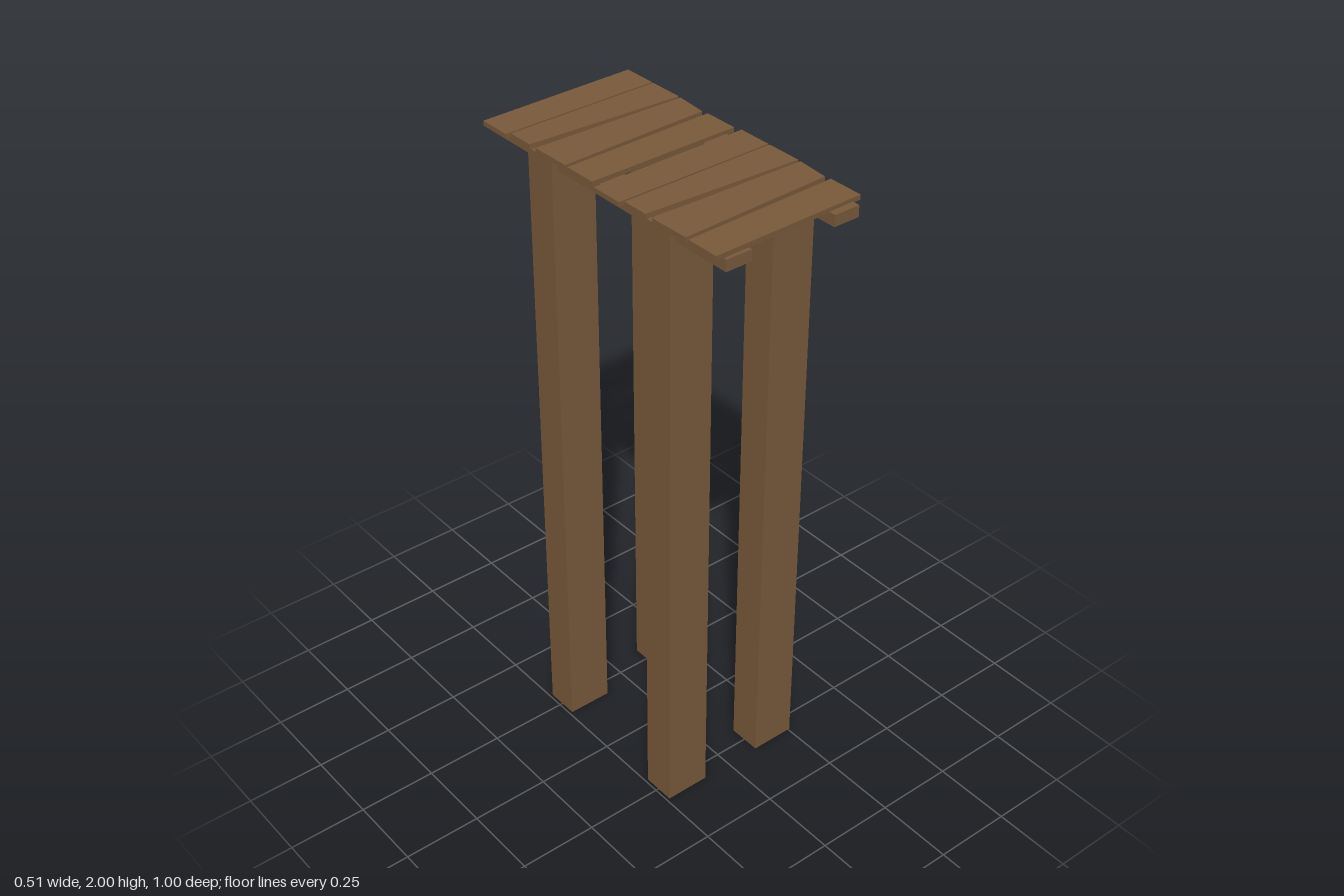
import * as THREE from 'three';

export function createModel() {
  const model = new THREE.Group();
  const wood = new THREE.MeshStandardMaterial({ color: 0x7a5a3b });
  wood.name = 'brownWood';

  const add = (name, geometry) => {
    const mesh = new THREE.Mesh(geometry, wood);
    mesh.name = name;
    model.add(mesh);
    return mesh;
  };

  const box = (name, x0, x1, y0, y1, z0, z1) =>
    add(name, new THREE.BoxGeometry(x1 - x0, y1 - y0, z1 - z0))
      .position.set((x0 + x1) / 2, (y0 + y1) / 2, (z0 + z1) / 2);

  // Four tall posts
  for (const [side, x0, x1] of [['right', -0.24, -0.096], ['left', 0.111, 0.255]]) {
    box(side + 'FrontPost', x0, x1, 0, 1.982, 0.197, 0.304);
    box(side + 'BackPost', x0, x1, 0, 1.982, -0.304, -0.197);
  }

  // Two rails carrying the deck
  box('rightRail', -0.222, -0.138, 1.95, 1.985, -0.5, 0.5);
  box('leftRail', 0.14, 0.225, 1.95, 1.985, -0.5, 0.5);

  // Uneven planks: [x, z] corners and a slight sideways slope; the set repeats once
  const planks = [
    { corners: [[-0.258, -0.487], [0.253, -0.495], [0.253, -0.385], [-0.258, -0.381]], slope: 0.006 },
    { corners: [[-0.248, -0.37], [0.253, -0.379], [0.253, -0.265], [-0.248, -0.285]], slope: 0 },
    { corners: [[-0.248, -0.258], [0.252, -0.255], [0.243, -0.15], [-0.245, -0.128]], slope: 0 },
    { corners: [[-0.247, -0.115], [0.252, -0.137], [0.252, -0.025], [-0.247, -0.009]], slope: -0.008 },
  ];
  for (const shift of [0, 0.5]) {
    planks.forEach(({ corners, slope }, i) => {
      const shape = new THREE.Shape(corners.map(([x, z]) => new THREE.Vector2(x, -(z + shift))));
      const geometry = new THREE.ExtrudeGeometry(shape, { depth: 0.015, bevelEnabled: false });
      geometry.rotateX(-Math.PI / 2);
      const p = geometry.attributes.position;
      for (let v = 0; v < p.count; v++) {
        p.setY(v, p.getY(v) + 1.985 + slope * p.getX(v) - Math.abs(slope) * 0.25);
      }
      geometry.computeVertexNormals();
      add('plank' + (i + 1 + shift * 8), geometry);
    });
  }
  return model;
}
